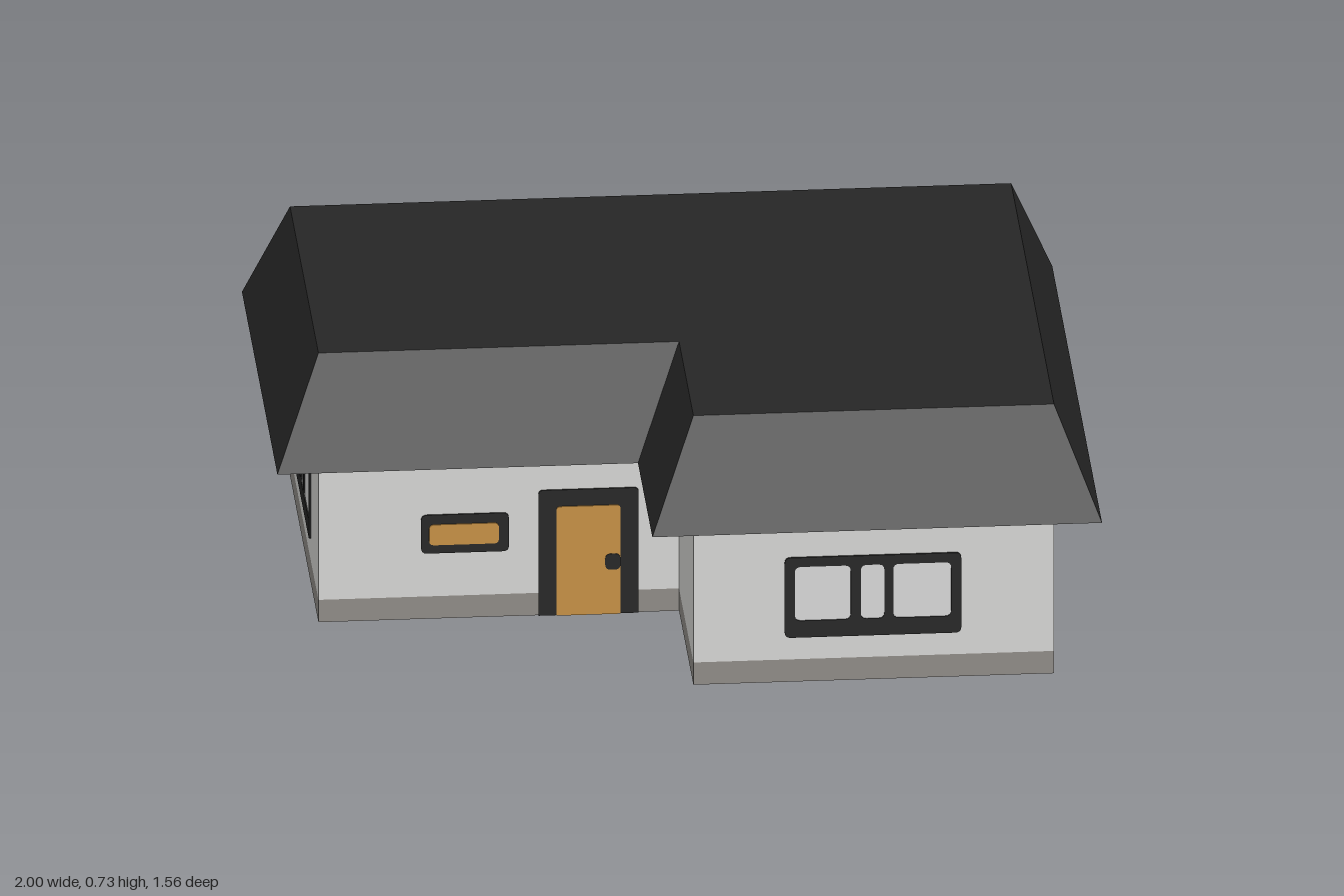
import * as THREE from 'three';

const mat = (name, color) => {
  const m = new THREE.MeshStandardMaterial({ color });
  m.name = name;
  return m;
};

// L-shaped outlines as [x, z], running left to right along the front
const outline = (o) => [
  [-0.89 - o, 0.22 + o], [-o, 0.22 + o], [-o, 0.67 + o],
  [0.89 + o, 0.67 + o], [0.89 + o, -0.67 - o], [-0.89 - o, -0.67 - o],
];

// Flat faces joining two outlines at heights y0 and y1, for the chosen edges
function band(low, y0, high, y1, edges) {
  const pos = [];
  for (const i of edges) {
    const j = (i + 1) % low.length;
    const a = [low[i][0], y0, low[i][1]], b = [low[j][0], y0, low[j][1]];
    const c = [high[j][0], y1, high[j][1]], d = [high[i][0], y1, high[i][1]];
    pos.push(...a, ...b, ...c, ...a, ...c, ...d);
  }
  const g = new THREE.BufferGeometry();
  g.setAttribute('position', new THREE.Float32BufferAttribute(pos, 3));
  g.computeVertexNormals();
  return g;
}

// Horizontal cap facing up or down
function cap(points, y, up) {
  const s = up ? -1 : 1;
  const shape = new THREE.Shape(points.map(([x, z]) => new THREE.Vector2(x, s * z)));
  return new THREE.ShapeGeometry(shape).rotateX(s * Math.PI / 2).translate(0, y, 0);
}

// Rectangle with rounded corners; rb is the radius of the lower two
function rounded(x0, y0, x1, y1, r, rb = r, Type = THREE.Shape) {
  const s = new Type();
  s.moveTo(x0 + rb, y0);
  s.lineTo(x1 - rb, y0);
  if (rb) s.quadraticCurveTo(x1, y0, x1, y0 + rb);
  s.lineTo(x1, y1 - r);
  s.quadraticCurveTo(x1, y1, x1 - r, y1);
  s.lineTo(x0 + r, y1);
  s.quadraticCurveTo(x0, y1, x0, y1 - r);
  s.lineTo(x0, y0 + rb);
  if (rb) s.quadraticCurveTo(x0, y0, x0 + rb, y0);
  return s;
}

const plate = (shape, depth) =>
  new THREE.ExtrudeGeometry(shape, { depth, bevelEnabled: false, curveSegments: 4 });

export function createModel() {
  const house = new THREE.Group();
  house.name = 'house';
  const dark = mat('charcoal', 0x262626);
  const wall = mat('pale plaster', 0xd4d4d2);
  const stone = mat('grey plinth', 0x8e8b86);
  const wood = mat('warm wood', 0xc48f44);
  const glass = mat('light glass', 0xd6d6d6);

  const add = (name, geometry, material, parent = house) => {
    const m = new THREE.Mesh(geometry, material);
    m.name = name;
    parent.add(m);
    return m;
  };

  // Body: plastered front and left-hand end, dark flank and back
  const body = outline(0), eaves = outline(0.11);
  const plastered = [0, 1, 2, 5];
  add('plinth', band(body, 0, body, 0.06, plastered), stone);
  add('plasterWalls', band(body, 0.06, body, 0.45, plastered), wall);
  add('darkWalls', band(body, 0, body, 0.45, [3, 4]), dark);
  add('floor', cap(body, 0, false), dark);

  // Roof: sloping skirt, flat top and soffit
  add('roofSlopes', band(eaves, 0.45, body, 0.725, [0, 1, 2, 3, 4, 5]), dark);
  add('roofTop', cap(body, 0.725, true), dark);
  add('soffit', cap(eaves, 0.45, false), dark);

  // Three-pane window, used on the wing front and the end wall
  function bigWindow(name) {
    const g = new THREE.Group();
    g.name = name;
    const frame = rounded(-0.218, 0.12, 0.218, 0.335, 0.015);
    for (const [x0, x1] of [[-0.193, -0.055], [-0.03, 0.028], [0.05, 0.193]]) {
      frame.holes.push(rounded(x0, 0.165, x1, 0.31, 0.015, 0.015, THREE.Path));
      add('windowPane', plate(rounded(x0, 0.165, x1, 0.31, 0.015), 0.002), glass, g);
    }
    add('windowFrame', plate(frame, 0.005), dark, g);
    house.add(g);
    return g;
  }
  bigWindow('frontWindow').position.set(0.443, 0, 0.67);
  const side = bigWindow('endWindow');
  side.position.set(-0.89, 0, -0.225);
  side.rotation.y = -Math.PI / 2;

  // Door and slot window on the recessed front wall
  const entrance = new THREE.Group();
  entrance.name = 'entrance';
  entrance.position.z = 0.22;
  house.add(entrance);
  add('doorFrame', plate(rounded(-0.347, 0, -0.1, 0.337, 0.012, 0), 0.004), dark, entrance);
  add('door', plate(rounded(-0.303, 0, -0.145, 0.293, 0.01, 0), 0.007), wood, entrance);
  add('doorHandle', plate(rounded(-0.183, 0.12, -0.145, 0.163, 0.015), 0.009), dark, entrance);
  add('slotWindowFrame', plate(rounded(-0.637, 0.177, -0.42, 0.28, 0.015), 0.004), dark, entrance);
  add('slotWindowPane', plate(rounded(-0.617, 0.2, -0.445, 0.255, 0.012), 0.007), wood, entrance);

  return house;
}
